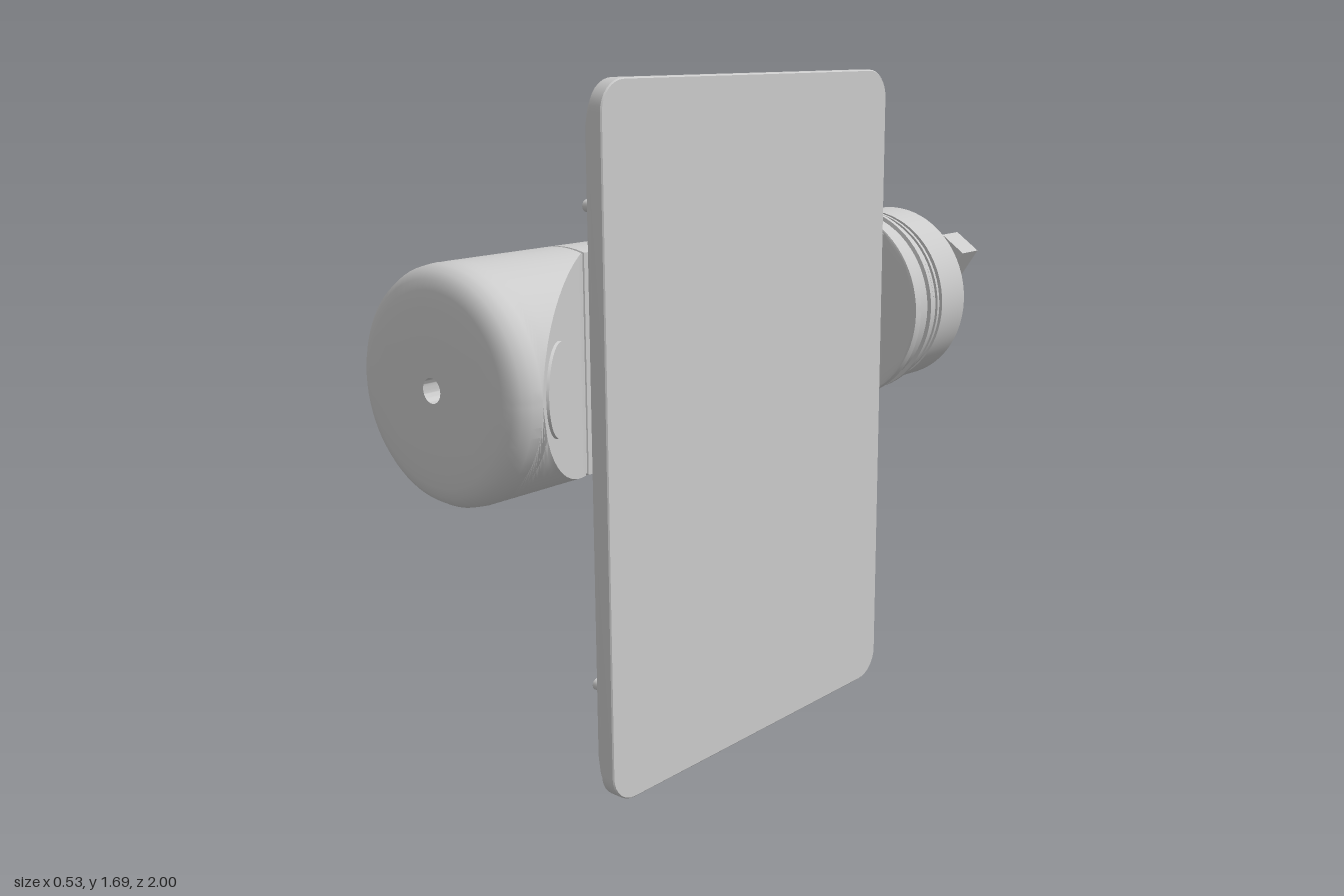
import * as THREE from 'three';
import { toCreasedNormals } from 'three/addons/utils/BufferGeometryUtils.js';

const AXIS_Y = 1.04; // height of the handle's axis

export function createModel() {
  const model = new THREE.Group();
  const mat = new THREE.MeshStandardMaterial({ color: 0xcccccc });
  const handle = new THREE.Group();
  handle.name = 'handle';
  handle.position.y = AXIS_Y;
  const tablet = new THREE.Group();
  tablet.name = 'tablet';
  model.add(handle, tablet);

  function add(parent, name, geo, x = 0, y = 0, z = 0) {
    const m = new THREE.Mesh(geo, mat);
    m.name = name;
    m.position.set(x, y, z);
    parent.add(m);
    return m;
  }

  // Skin a list of equal-length rings and close both ends
  function loft(rings) {
    const n = rings[0].length, pos = [], idx = [];
    rings.forEach(r => r.forEach(p => pos.push(...p)));
    for (let i = 0; i < rings.length - 1; i++) {
      for (let j = 0; j < n; j++) {
        const k = (j + 1) % n;
        const a = i * n + j, b = i * n + k, c = b + n, d = a + n;
        idx.push(a, b, c, a, c, d);
      }
    }
    [0, rings.length - 1].forEach(e => {
      const mid = [0, 1, 2].map(q => rings[e].reduce((s, p) => s + p[q], 0) / n);
      const m = pos.length / 3;
      pos.push(...mid);
      for (let j = 0; j < n; j++) {
        const a = e * n + j, b = e * n + (j + 1) % n;
        if (e === 0) idx.push(m, b, a); else idx.push(m, a, b);
      }
    });
    const g = new THREE.BufferGeometry();
    g.setAttribute('position', new THREE.Float32BufferAttribute(pos, 3));
    g.setIndex(idx);
    return toCreasedNormals(g, 0.5);
  }

  // Circle of radius r at z, cut flat at x = cut
  function cutCircle(z, r, cut = 1) {
    const a = Math.acos(Math.min(cut / r, 0.9998)), ring = [];
    const arc = 72, flat = 12, x = r * Math.cos(a), h = r * Math.sin(a);
    for (let i = 0; i <= arc; i++) {
      const t = a + (2 * Math.PI - 2 * a) * i / arc;
      ring.push([r * Math.cos(t), r * Math.sin(t), z]);
    }
    for (let i = 1; i < flat; i++) ring.push([x, -h + 2 * h * i / flat, z]);
    return ring;
  }

  // Turned part along z from [radius, z] points
  function turned(points, segments = 64) {
    const g = new THREE.LatheGeometry(points.map(p => new THREE.Vector2(...p)), segments);
    return toCreasedNormals(g.rotateX(Math.PI / 2), 0.5);
  }
  const disc = (r, z0, z1, seg) => turned([[0, z0], [r, z0], [r, z1], [0, z1]], seg);
  const washer = (r0, r1, z0, z1) =>
    turned([[r0, z0], [r1, z0], [r1, z1], [r0, z1], [r0, z0]]);

  // Grip: round body with a flat seat for the tablet and a sloped front
  const R = 0.267, seat = 0.066;
  const body = [
    [-0.47, R], [-0.445, R], [-0.437, R, 0.235], [-0.432, R, 0.17], [-0.418, R, 0.115],
    [-0.395, R, 0.085], [-0.36, R, 0.07], [-0.325, R, seat],
    [-0.322, R - 0.004, seat - 0.003], [-0.318, R - 0.004, seat - 0.003], [-0.315, R, seat],
    [0.605, R, seat], [0.607, R - 0.004, seat - 0.003], [0.611, R - 0.004, seat - 0.003],
  ];
  for (let i = 0; i <= 14; i++) {
    body.push([0.614 + 0.316 * i / 14, R, seat + 0.202 * i / 14]);
  }
  // Rounded nose and its small hole
  body.push([0.955, 0.264], [0.975, 0.253], [0.988, 0.237], [0.995, 0.215], [0.998, 0.17],
    [1, 0.1], [1, 0.028], [0.9, 0.028]);
  add(handle, 'gripBody', loft(body.map(b => cutCircle(...b))));

  // Round button on the slope
  const button = new THREE.CylinderGeometry(0.103, 0.105, 0.008, 48).rotateZ(-Math.PI / 2);
  add(handle, 'slopeButton', button, 0.2, 0, 0.82).rotation.y = Math.atan2(0.639, 1);

  // Collar, sealing rings and rear drum
  add(handle, 'collar', turned([[0, -0.552], [0.25, -0.552], [0.25, -0.545], [0.26, -0.543],
    [0.26, -0.53], [0.25, -0.527], [0.25, -0.47], [0, -0.47]]));
  [-0.572, -0.592].forEach(z => add(handle, 'sealingRing', washer(0.2, 0.247, z, z + 0.009)));
  add(handle, 'spindle', disc(0.05, -0.62, -0.54, 24));
  add(handle, 'rearDrum', turned([[0, -0.71], [0.212, -0.71], [0.212, -0.722], [0.246, -0.722],
    [0.246, -0.608], [0, -0.608]]));
  add(handle, 'drumFoot', new THREE.BoxGeometry(0.16, 0.07, 0.066), -0.06, -0.214, -0.687);
  add(handle, 'rearPlate', new THREE.BoxGeometry(0.2, 0.17, 0.014), -0.06, -0.12, -0.735);

  // Motor with end cap, terminals and cradle
  const motor = new THREE.Group();
  motor.name = 'motor';
  motor.position.set(-0.078, -0.13, 0);
  handle.add(motor);
  add(motor, 'motorCan', turned([[0, -0.985], [0.066, -0.985], [0.075, -0.975],
    [0.075, -0.71], [0, -0.71]], 32));
  add(motor, 'motorBoss', disc(0.028, -1, -0.98, 20));
  [-1, 1].forEach(s =>
    add(motor, 'motorTerminal', new THREE.BoxGeometry(0.012, 0.03, 0.014), s * 0.046, 0, -0.991));
  add(motor, 'motorCradle', new THREE.BoxGeometry(0.12, 0.07, 0.09), 0.01, 0.06, -0.755);

  // Connector: foot, housing and a row of contacts
  function connector(x, y, angle, w, h) {
    const g = new THREE.Group();
    g.name = 'connector';
    g.position.set(x, y, 0);
    g.rotation.z = angle;
    handle.add(g);
    add(g, 'connectorFoot', new THREE.BoxGeometry(w * 0.6, h * 0.7, 0.07), 0, 0, -0.743);
    add(g, 'connectorHousing', new THREE.BoxGeometry(w, h, 0.08), 0, 0, -0.815);
    for (let i = 0; i < 4; i++) {
      add(g, 'contact', new THREE.BoxGeometry(w * 0.5, h * 0.12, 0.01),
        0, h * (i - 1.5) * 0.23, -0.857);
    }
  }
  connector(0.13, 0.09, -0.6, 0.085, 0.14);
  connector(-0.03, 0.14, 0.2, 0.07, 0.13);
  connector(-0.155, 0.12, 0.55, 0.06, 0.13);

  // Central hub and screws on the drum face
  add(handle, 'hub', turned([[0, -0.8], [0.022, -0.8], [0.022, -0.76], [0.045, -0.755],
    [0.045, -0.7], [0, -0.7]], 24), 0.02, 0.01);
  for (let i = 0; i < 6; i++) {
    const t = i * Math.PI / 3 + 0.25;
    add(handle, 'drumScrew', disc(0.016, -0.735, -0.7, 12),
      0.185 * Math.cos(t), 0.185 * Math.sin(t));
  }

  // Tablet: rounded rectangle in the y-z plane at x, inset from the outline
  function slab(x, insetY, insetZ, radius) {
    const h = 0.843 - insetY, w = 0.532 - insetZ, ring = [];
    for (let q = 0; q < 4; q++) {
      const sy = q === 0 || q === 3 ? 1 : -1, sz = q < 2 ? 1 : -1;
      for (let i = 0; i <= 8; i++) {
        const t = (q + i / 8) * Math.PI / 2;
        ring.push([x, 0.843 + sy * (h - radius) + radius * Math.cos(t),
          0.13 + sz * (w - radius) + radius * Math.sin(t)]);
      }
    }
    return ring;
  }
  add(tablet, 'screenSlab', loft([slab(0.143, 0.003, 0.003, 0.07), slab(0.146, 0, 0, 0.073),
    slab(0.181, 0, 0, 0.073), slab(0.184, 0.003, 0.003, 0.07)]));
  add(tablet, 'backShell', loft([slab(0.09, 0.4, 0.1, 0.07), slab(0.093, 0.26, 0.07, 0.07),
    slab(0.099, 0.15, 0.045, 0.07), slab(0.108, 0.085, 0.028, 0.07),
    slab(0.12, 0.04, 0.016, 0.07), slab(0.132, 0.014, 0.009, 0.07),
    slab(0.144, 0.006, 0.006, 0.07)]));

  // Back screws: two along each edge
  const screw = new THREE.CylinderGeometry(0.014, 0.014, 0.02, 16).rotateZ(Math.PI / 2);
  [-1, 1].forEach(a => [-1, 1].forEach(b => {
    add(tablet, 'backScrew', screw, 0.117, 0.843 + a * 0.79, 0.13 + b * 0.26);
    add(tablet, 'backScrew', screw, 0.108, 0.843 + a * 0.565, 0.13 + b * 0.495);
  }));
  return model;
}
